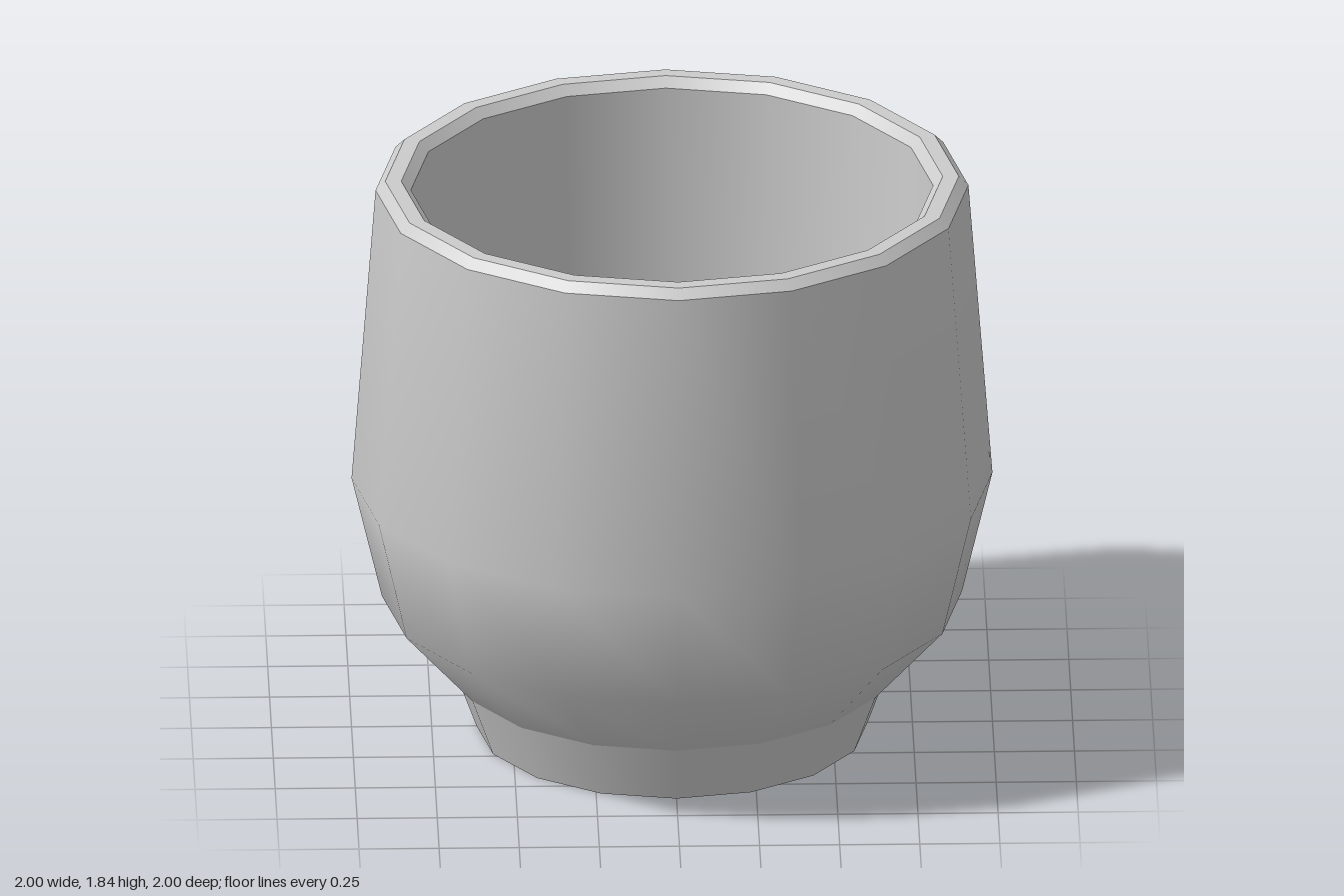
import * as THREE from 'three';

const SIDES = 16;
const material = new THREE.MeshStandardMaterial({ color: 0xcccccc });

// One smooth band of the cup; separate bands keep the edges between them sharp.
// Profiles run up the outside, over the rim and down the inside.
function band(name, profile) {
  const points = profile.map(([r, y]) => new THREE.Vector2(r, y));
  const mesh = new THREE.Mesh(new THREE.LatheGeometry(points, SIDES), material);
  mesh.name = name;
  return mesh;
}

export function createModel() {
  const cup = new THREE.Group();
  cup.name = 'cup';
  cup.add(
    // Foot
    band('underside', [[0, 0], [0.61, 0]]),
    band('foot', [[0.61, 0], [0.68, 0.19]]),
    // Rounded outer wall
    band('outerWall', [[0.68, 0.19], [0.905, 0.44], [1, 0.84], [0.925, 1.81]]),
    // Bevelled rim
    band('outerBevel', [[0.925, 1.81], [0.895, 1.84]]),
    band('rim', [[0.895, 1.84], [0.845, 1.84]]),
    band('innerBevel', [[0.845, 1.84], [0.815, 1.81]]),
    // Hollow inside
    band('innerWall', [[0.815, 1.81], [0.765, 0.5]]),
    band('bowl', [[0.765, 0.5], [0.38, 0.27]]),
    band('floor', [[0.38, 0.27], [0, 0.27]]),
  );
  return cup;
}
